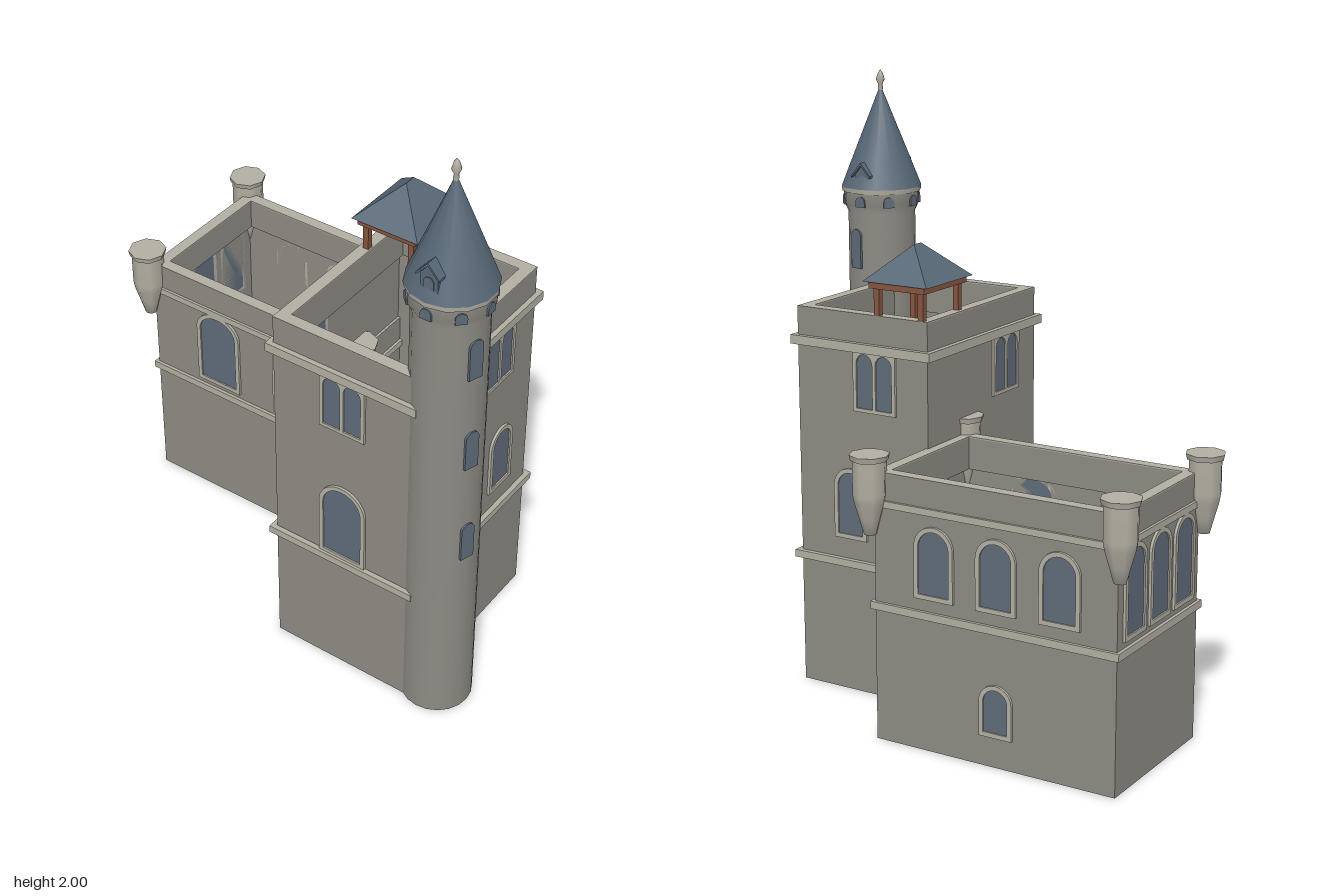
import * as THREE from 'three';

const mat = (name, color, side = THREE.FrontSide) => {
  const m = new THREE.MeshStandardMaterial({ color, side });
  m.name = name;
  return m;
};

export function createModel() {
  const model = new THREE.Group();
  model.name = 'castle';
  const wall = mat('wall stone', 0x8c8a82, THREE.DoubleSide);
  const trim = mat('pale stone', 0xb2aea2, THREE.DoubleSide);
  const glass = mat('window glass', 0x5e6b79);
  const slate = mat('roof slate', 0x586877, THREE.DoubleSide);
  const wood = mat('brown wood', 0x85543f);

  const add = (name, geo, material, x = 0, y = 0, z = 0, parent = model) => {
    const m = new THREE.Mesh(geo, material);
    m.name = name;
    m.position.set(x, y, z);
    parent.add(m);
    return m;
  };
  const shapeOf = pts => new THREE.Shape(pts.map(p => new THREE.Vector2(...p)));
  const extrude = (shape, depth) =>
    new THREE.ExtrudeGeometry(shape, { depth, bevelEnabled: false, curveSegments: 10 });
  const rect = (x0, x1, z0, z1) => shapeOf([[x0, -z1], [x1, -z1], [x1, -z0], [x0, -z0]]);

  // Rectangular ring lying flat, used for ledges and wall tops
  const ring = (name, [x0, x1, z0, z1], out, inn, y0, y1, material) => {
    const s = rect(x0 - out, x1 + out, z0 - out, z1 + out);
    s.holes.push(rect(x0 + inn, x1 - inn, z0 + inn, z1 - inn));
    const g = extrude(s, y1 - y0);
    g.rotateX(-Math.PI / 2);
    return add(name, g, material, 0, y0, 0);
  };

  // Four walls, open above and below
  const walls = (name, [x0, x1, z0, z1], h) => {
    const g = new THREE.BoxGeometry(x1 - x0, h, z1 - z0);
    const idx = Array.from(g.index.array);
    g.setIndex([...idx.slice(0, 12), ...idx.slice(24)]);
    g.clearGroups();
    add(name, g, wall, (x0 + x1) / 2, h / 2, (z0 + z1) / 2);
  };

  const wing = [-0.73, 0.118, -0.462, 0.064];
  const keep = [0.11, 0.612, -0.17, 0.495];
  for (const [name, box, h, bandY] of [['wing', wing, 0.88, 0.77], ['keep', keep, 1.29, 1.165]]) {
    walls(name + 'Walls', box, h);
    ring(name + 'InnerParapet', box, -0.002, 0.04, bandY, h - 0.004, wall);
    ring(name + 'Coping', box, 0, 0.04, h - 0.004, h, trim);
  }
  ring('wingUpperLedge', wing, 0.01, -0.001, 0.77, 0.792, trim);
  ring('wingLowerLedge', wing, 0.012, -0.001, 0.435, 0.46, trim);
  ring('keepUpperLedge', keep, 0.018, -0.001, 1.165, 1.195, trim);
  ring('keepLowerLedge', keep, 0.018, -0.001, 0.435, 0.46, trim);

  // Arched outline with its foot at y = 0
  const arch = (w, h, rise, y = 0, x = 0, Type = THREE.Shape) => {
    const s = new Type();
    s.moveTo(x - w / 2, y);
    s.lineTo(x + w / 2, y);
    s.lineTo(x + w / 2, h - rise);
    s.absellipse(x, h - rise, w / 2, rise, 0, Math.PI, false, 0);
    s.closePath();
    return s;
  };
  const place = (name, x, y, z, turn) => {
    const g = new THREE.Group();
    g.name = name;
    g.position.set(x, y, z);
    g.rotation.y = turn;
    model.add(g);
    return g;
  };
  // Framed single arch
  const archWindow = (x, y, z, turn, w, h, rise, f = 0.015) => {
    const g = place('archedWindow', x, y, z, turn);
    const s = arch(w, h, rise);
    s.holes.push(arch(w - 2 * f, h - f, Math.max(rise - f, 0.02), f, 0, THREE.Path));
    add('windowFrame', extrude(s, 0.009), trim, 0, 0, 0, g);
    add('windowPane', extrude(arch(w - 2 * f, h - f, Math.max(rise - f, 0.02), f), 0.004), glass, 0, 0, 0, g);
  };
  // Two narrow arches in one square frame
  const twinWindow = (x, z, turn) => {
    const g = place('twinWindow', x, 0.968, z, turn);
    const s = shapeOf([[-0.081, 0], [0.081, 0], [0.081, 0.197], [-0.081, 0.197]]);
    for (const px of [-0.037, 0.037]) {
      s.holes.push(arch(0.062, 0.192, 0.035, 0.012, px, THREE.Path));
      add('windowPane', extrude(arch(0.062, 0.192, 0.035, 0.012, px), 0.004), glass, 0, 0, 0, g);
    }
    add('windowFrame', extrude(s, 0.009), trim, 0, 0, 0, g);
  };

  const R = Math.PI / 2, L = -Math.PI / 2, B = Math.PI;
  // Wing windows: front, back and left end
  for (const x of [-0.457, -0.138]) archWindow(x, 0.48, wing[3], 0, 0.176, 0.295, 0.075);
  for (const x of [-0.1, -0.32, -0.54]) archWindow(x, 0.5, wing[2], B, 0.14, 0.235, 0.07);
  archWindow(-0.32, 0.1, wing[2], B, 0.115, 0.17, 0.055);
  for (const z of [-0.36, -0.2, -0.04]) archWindow(wing[0], 0.48, z, L, 0.135, 0.29, 0.065);
  // Keep windows on all four faces
  archWindow(0.365, 0.458, keep[3], 0, 0.17, 0.292, 0.085);
  archWindow(keep[1], 0.53, -0.008, R, 0.126, 0.24, 0.063);
  for (const x of [0.41, 0.225]) archWindow(x, 0.53, keep[2], B, 0.126, 0.24, 0.063);
  archWindow(keep[0], 0.53, 0.3, L, 0.126, 0.24, 0.063);
  twinWindow(0.365, keep[3], 0);
  twinWindow(keep[1], 0.03, R);
  twinWindow(0.31, keep[2], B);
  twinWindow(keep[0], 0.3, L);

  const lathe = (pts, n) => new THREE.LatheGeometry(pts.map(p => new THREE.Vector2(...p)), n);

  // Corner turrets on the wing
  for (const x of [-0.743, 0.125]) for (const z of [-0.475, 0.075]) {
    add('cornerTurret', lathe([[0, 0.68], [0.02, 0.68], [0.034, 0.73], [0.05, 0.785], [0.054, 0.81], [0.054, 0.918]], 8), trim, x, 0, z);
    add('turretCap', new THREE.CylinderGeometry(0.064, 0.06, 0.018, 8), trim, x, 0.927, z);
  }

  // Round tower
  const tx = 0.665, tz = 0.4;
  add('towerShaft', lathe([[0.115, 0], [0.115, 1.52], [0.129, 1.55], [0.129, 1.592]], 20), wall, tx, 0, tz);
  add('towerLip', new THREE.CylinderGeometry(0.137, 0.135, 0.016, 14), trim, tx, 1.598, tz);
  add('towerRoof', lathe([[0.137, 1.606], [0.104, 1.69], [0.006, 1.935]], 14), slate, tx, 0, tz);
  add('finial', lathe([[0.006, 1.92], [0.009, 1.94], [0.007, 1.95], [0.015, 1.967], [0.009, 1.988], [0, 2]], 8), trim, tx, 0, tz);

  const towerPane = (deg, r, y, w, h) => {
    const a = deg * Math.PI / 180;
    const g = place('towerWindow', tx + r * Math.sin(a), y, tz + r * Math.cos(a), a);
    add('towerPane', extrude(arch(w, h, w / 2), 0.008), glass, 0, 0, 0, g);
  };
  for (const y of [0.645, 1.0, 1.33]) for (const a of [72, 165]) towerPane(a, 0.111, y, 0.048, 0.135);
  for (let i = 0; i < 8; i++) towerPane(i * 45, 0.124, 1.545, 0.036, 0.036);

  // Dormers at front and back of the cone
  for (const [turn, y] of [[0, 1.606], [B, 1.57]]) {
    const g = place('dormer', tx, y, tz, turn);
    add('dormerBody', extrude(shapeOf([[-0.029, 0], [0.029, 0], [0.029, 0.082], [0, 0.115], [-0.029, 0.082]]), 0.118), slate, 0, 0, 0, g);
    add('dormerRoof', extrude(shapeOf([[-0.038, 0.075], [0, 0.116], [0.038, 0.075], [0.038, 0.083], [0, 0.126], [-0.038, 0.083]]), 0.127), slate, 0, 0, 0, g);
    add('dormerPane', extrude(arch(0.034, 0.075, 0.017, 0.036), 0.004), glass, 0, 0, 0.117, g);
  }

  // Open timber shelter with a hipped roof on the keep
  const sx = 0.218, sz = -0.057;
  for (const s of [-1, 1]) {
    for (const t of [-1, 1])
      add('shelterPost', new THREE.BoxGeometry(0.02, 0.15, 0.02), wood, sx + s * 0.083, 1.315, sz + t * 0.103);
    add('sideBeam', new THREE.BoxGeometry(0.03, 0.022, 0.25), wood, sx + s * 0.09, 1.39, sz);
    add('crossBeam', new THREE.BoxGeometry(0.21, 0.022, 0.03), wood, sx, 1.39, sz + s * 0.11);
  }
  const hip = new THREE.BoxGeometry(0.242, 0.112, 0.272).toNonIndexed();
  const p = hip.attributes.position;
  for (let i = 0; i < p.count; i++)
    if (p.getY(i) > 0) p.setXYZ(i, 0, p.getY(i), Math.sign(p.getZ(i)) * 0.02);
  hip.computeVertexNormals();
  add('shelterRoof', hip, slate, sx, 1.457, sz);

  return model;
}
